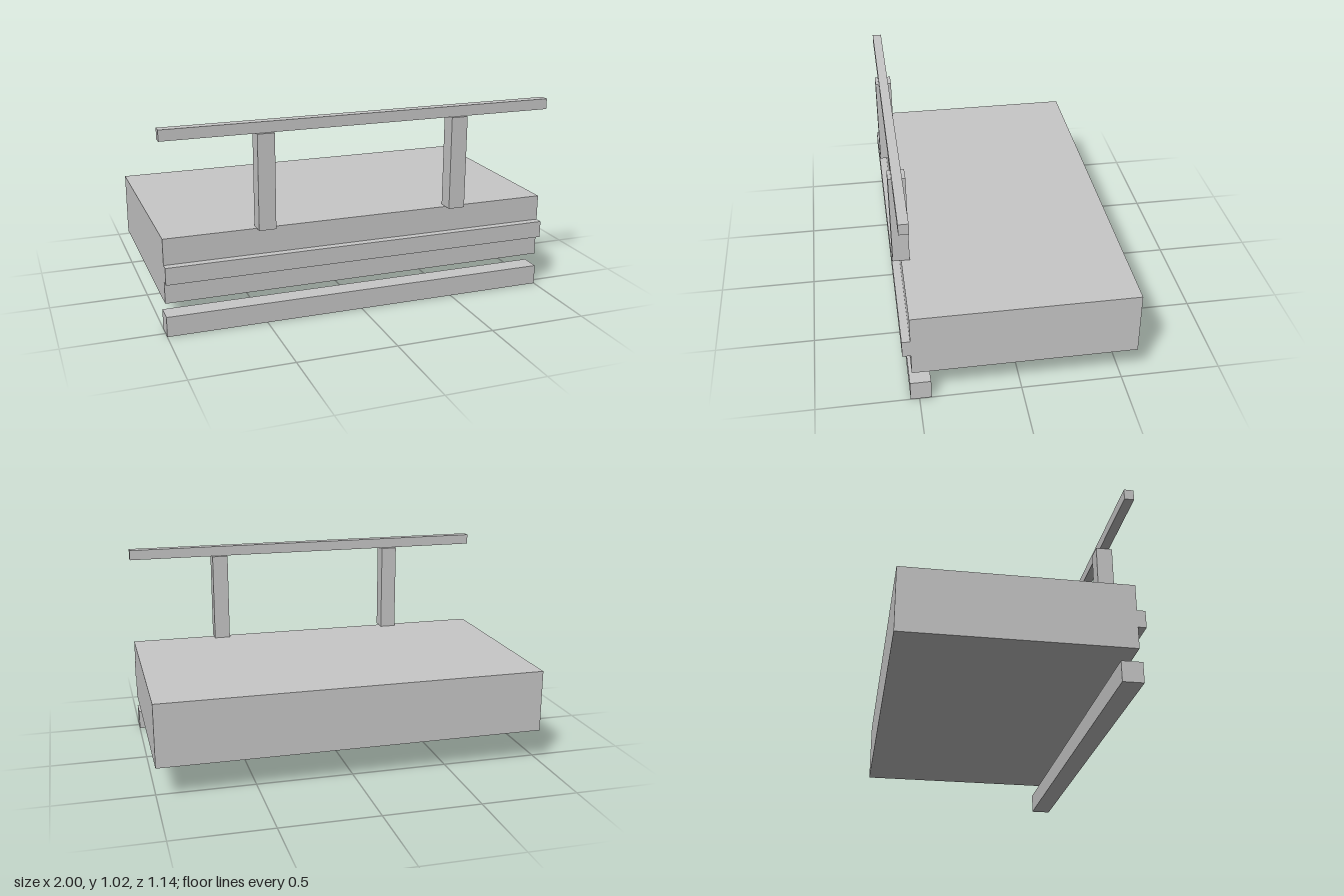
import * as THREE from 'three';

export function createModel() {
  const group = new THREE.Group();
  const grey = new THREE.MeshStandardMaterial({ color: 0xc8c8c8 });
  grey.name = 'light grey';

  // Box from its centre x, width and its y and z limits
  const addBox = (name, x, width, [y0, y1], [z0, z1]) => {
    const mesh = new THREE.Mesh(new THREE.BoxGeometry(width, y1 - y0, z1 - z0), grey);
    mesh.position.set(x, (y0 + y1) / 2, (z0 + z1) / 2);
    mesh.name = name;
    group.add(mesh);
  };

  // Slab with its front trim band, and the separate lower beam
  addBox('slab', 0, 2, [0.168, 0.493], [-0.571, 0.531]);
  addBox('trimBand', 0, 2, [0.276, 0.362], [0.531, 0.571]);
  addBox('lowerBeam', 0, 2, [0, 0.102], [0.441, 0.543]);

  // Railing
  for (const [side, x] of [['left', 0.5], ['right', -0.5]]) {
    addBox(side + 'Post', x, 0.085, [0.493, 0.967], [0.488, 0.572]);
  }
  addBox('handrail', 0, 2, [0.967, 1.021], [0.508, 0.556]);

  return group;
}
